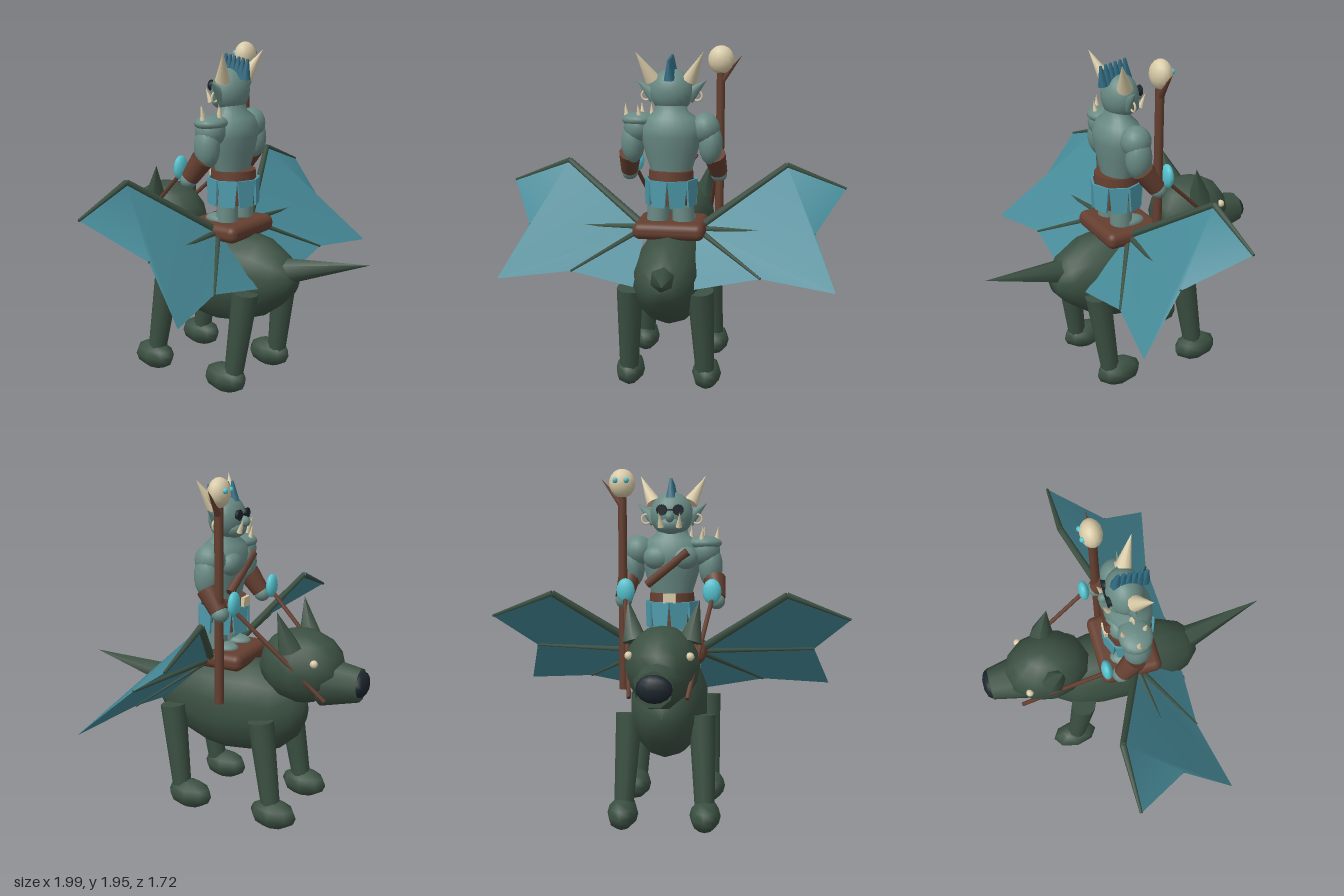
import * as THREE from 'three';
import { RoundedBoxGeometry } from 'three/addons/geometries/RoundedBoxGeometry.js';

const paint = (name, color) => {
  const m = new THREE.MeshStandardMaterial({ color });
  m.name = name;
  return m;
};

export function createModel() {
  const model = new THREE.Group();
  model.name = 'hornedRiderOnWingedBeast';

  const fur = paint('dark green hide', 0x3b5042);
  const skin = paint('grey teal skin', 0x698a84);
  const leather = paint('brown leather', 0x653f30);
  const bone = paint('bone', 0xd9cba8);
  const gem = paint('bright cyan', 0x55c3cf);
  const cloth = paint('blue cloth', 0x4e9aab);
  const hair = paint('deep blue hair', 0x2f6b82);
  const dark = paint('near black', 0x1c252c);
  const membrane = paint('wing membrane', 0x468997);
  membrane.side = THREE.DoubleSide;

  const V = (p) => new THREE.Vector3(...p);
  const UP = new THREE.Vector3(0, 1, 0);

  const add = (name, geo, mat, pos = [0, 0, 0]) => {
    const m = new THREE.Mesh(geo, mat);
    m.name = name;
    m.position.set(...pos);
    model.add(m);
    return m;
  };
  // Ellipsoid
  const ball = (name, mat, pos, r, w = 16, h = 12) =>
    add(name, new THREE.SphereGeometry(1, w, h).scale(...r), mat, pos);
  // Tapered rod from a to b
  const rod = (name, mat, a, b, ra, rb, n = 8) => {
    const d = V(b).sub(V(a));
    const m = add(name, new THREE.CylinderGeometry(rb, ra, d.length(), n), mat);
    m.position.copy(V(a)).addScaledVector(d, 0.5);
    m.quaternion.setFromUnitVectors(UP, d.normalize());
    return m;
  };
  const spike = (name, mat, a, b, r, n = 8) => rod(name, mat, a, b, r, 0, n);
  // Run a part builder for both sides: left is +x
  const both = (fn) => [['left', 1], ['right', -1]].forEach(([side, s]) => fn(side, s));

  // Closed body along z from rings of [z, y, rx, ry], listed from +z to -z
  const loft = (rings, n) => {
    const pos = [], idx = [];
    rings.forEach(([z, y, rx, ry]) => {
      for (let i = 0; i < n; i++) {
        const t = (i / n) * Math.PI * 2;
        pos.push(Math.sin(t) * rx, y + Math.cos(t) * ry, z);
      }
    });
    for (let k = 0; k < rings.length - 1; k++)
      for (let i = 0; i < n; i++) {
        const a = k * n + i, b = k * n + ((i + 1) % n);
        idx.push(a, b, a + n, b, b + n, a + n);
      }
    const g = new THREE.BufferGeometry();
    g.setAttribute('position', new THREE.Float32BufferAttribute(pos, 3));
    g.setIndex(idx);
    g.computeVertexNormals();
    return g;
  };

  // ---- Beast (its muzzle points to -z) ----
  add('beastBody', loft([
    [0.44, 0.66, 0.001, 0.001], [0.43, 0.66, 0.07, 0.07], [0.36, 0.662, 0.14, 0.15],
    [0.24, 0.652, 0.185, 0.232], [0.08, 0.635, 0.207, 0.278], [-0.04, 0.625, 0.212, 0.285],
    [-0.2, 0.635, 0.21, 0.278], [-0.35, 0.635, 0.185, 0.25], [-0.46, 0.635, 0.12, 0.15],
    [-0.5, 0.635, 0.05, 0.06], [-0.505, 0.635, 0.001, 0.001],
  ], 14), fur);
  ball('beastHead', fur, [0, 0.915, -0.475], [0.2, 0.21, 0.25], 12, 8);
  rod('beastSnout', fur, [0, 0.845, -0.6], [0, 0.853, -0.82], 0.142, 0.094, 9);
  ball('beastNose', dark, [0, 0.857, -0.82], [0.092, 0.072, 0.042], 10, 8);
  spike('beastTail', fur, [0, 0.71, 0.35], [0.08, 0.825, 0.86], 0.078, 6);
  both((side, s) => {
    spike(side + 'BeastEar', fur, [s * 0.145, 1.04, -0.46], [s * 0.19, 1.255, -0.4], 0.07, 6);
    ball(side + 'BeastEye', bone, [s * 0.157, 0.985, -0.605], [0.022, 0.022, 0.022], 10, 8);
    [['Front', -0.32, -0.4, -0.415], ['Hind', 0.245, 0.18, 0.125]].forEach(([end, zt, zb, zf]) => {
      rod(side + end + 'Leg', fur, [s * 0.2, 0.62, zt], [s * 0.222, 0.11, zb], 0.075, 0.054, 10);
      ball(side + end + 'Paw', fur, [s * 0.225, 0.085, zf], [0.085, 0.085, 0.14], 8, 6);
    });
    // Reins from the hands, behind the cheek and out at the jaw
    rod(side + 'Rein', leather, [s * 0.24, 1.23, -0.19], [s * 0.175, 0.92, -0.52], 0.012, 0.012, 6);
    rod(side + 'ReinEnd', leather, [s * 0.175, 0.92, -0.52], [s * 0.148, 0.78, -0.667], 0.012, 0.012, 6);
  });

  // ---- Wings: membrane sheet and finger bones ----
  both((side, s) => {
    const p = (x, y, z) => [s * x, y, z];
    const root = p(0.15, 0.92, 0.02), wrist = p(0.65, 1.265, -0.2), tip = p(0.995, 1.135, -0.2);
    const notch = p(0.82, 0.93, 0.1), hook = p(0.93, 0.68, 0.375), mid = p(0.53, 0.715, 0.285);
    const low = p(0.17, 0.645, 0.31);
    const g = new THREE.BufferGeometry();
    g.setAttribute('position', new THREE.Float32BufferAttribute(
      [root, wrist, tip, notch, hook, mid, low].flat(), 3));
    const faces = [0, 4, 1, 1, 3, 2, 1, 4, 3, 0, 5, 4, 0, 6, 5];
    g.setIndex(s > 0 ? faces : faces.reverse());
    g.computeVertexNormals();
    add(side + 'WingMembrane', g, membrane);
    rod(side + 'WingArm', fur, root, wrist, 0.024, 0.018, 6);
    rod(side + 'WingTipBone', fur, wrist, tip, 0.018, 0.008, 6);
    rod(side + 'WingUpperFinger', fur, root, notch, 0.018, 0.007, 6);
    rod(side + 'WingLowerFinger', fur, root, mid, 0.018, 0.007, 6);
  });

  // ---- Saddle ----
  add('saddle', new RoundedBoxGeometry(0.41, 0.097, 0.355, 4, 0.042), leather, [0, 0.923, -0.01]);

  // ---- Rider body ----
  const torso = [[0.11, 1.2], [0.122, 1.27], [0.15, 1.36], [0.172, 1.45], [0.172, 1.5],
    [0.145, 1.555], [0.095, 1.59], [0.082, 1.64]].map(([r, y]) => new THREE.Vector2(r, y));
  add('riderTorso', new THREE.LatheGeometry(torso, 24).scale(1, 1, 0.74), skin, [0, 0, 0.01]);
  both((side, s) => {
    ball(side + 'Chest', skin, [s * 0.07, 1.46, -0.065], [0.085, 0.07, 0.06]);
    rod(side + 'RiderLeg', skin, [s * 0.075, 0.94, 0.025], [s * 0.07, 1.12, 0.025], 0.065, 0.06, 14);
    ball(side + 'RiderFoot', skin, [s * 0.08, 0.975, -0.02], [0.06, 0.035, 0.095]);
    ball(side + 'Shoulder', skin, [s * 0.19, 1.495, 0], [0.085, 0.088, 0.085]);
    ball(side + 'UpperArm', skin, [s * 0.222, 1.41, 0], [0.068, 0.12, 0.075]);
    rod(side + 'Bracer', leather, [s * 0.243, 1.345, -0.015], [s * 0.262, 1.235, -0.09], 0.064, 0.05, 12);
    ball(side + 'Hand', skin, [s * 0.262, 1.22, -0.1], [0.048, 0.045, 0.048], 12, 10);
    ball(side + 'HandGem', gem, [s * 0.24, 1.28, -0.172], [0.052, 0.07, 0.03], 12, 8);
  });

  // ---- Kilt of tapered panels over a leather skirt, belt and chest strap ----
  add('underSkirt', new THREE.CylinderGeometry(0.122, 0.128, 0.14, 16), leather, [0, 1.14, 0.015]);
  const panelShape = new THREE.Shape();
  panelShape.moveTo(-0.042, -0.075).lineTo(0.042, -0.075).lineTo(0.056, 0.075).lineTo(-0.056, 0.075);
  const panelGeo = new THREE.ExtrudeGeometry(panelShape, { depth: 0.012, bevelEnabled: false });
  for (let i = 0; i < 8; i++) {
    const a = ((i + 0.5) / 8) * Math.PI * 2;
    const panel = add('kiltPanel', panelGeo, cloth,
      [Math.sin(a) * 0.13, 1.137, 0.015 + Math.cos(a) * 0.13]);
    panel.rotation.y = a;
  }
  add('belt', new THREE.CylinderGeometry(0.126, 0.13, 0.05, 20), leather, [0, 1.235, 0.015]);
  add('buckle', new THREE.BoxGeometry(0.07, 0.055, 0.02), bone, [0, 1.235, -0.12]);
  rod('chestStrap', leather, [0.13, 1.31, -0.09], [-0.1, 1.495, -0.118], 0.024, 0.024, 8);

  // ---- Spiked shoulder guard ----
  ball('shoulderGuard', skin, [-0.185, 1.54, 0], [0.1, 0.042, 0.09]);
  [[-0.255, 0], [-0.175, 0.05], [-0.11, 0], [-0.175, -0.06]].forEach(([x, z]) =>
    spike('guardSpike', bone, [x, 1.555, z], [x * 1.04, 1.635, z * 1.2], 0.018));

  // ---- Rider head ----
  ball('riderHead', skin, [0, 1.7, -0.005], [0.122, 0.125, 0.1], 20, 14);
  ball('riderJaw', skin, [0, 1.645, -0.045], [0.085, 0.055, 0.07]);
  ball('riderNose', skin, [0, 1.685, -0.115], [0.025, 0.03, 0.03], 10, 8);
  both((side, s) => {
    spike(side + 'Horn', bone, [s * 0.105, 1.765, 0.02], [s * 0.188, 1.92, 0.085], 0.043, 10);
    const ear = spike(side + 'RiderEar', skin, [s * 0.09, 1.67, 0], [s * 0.2, 1.765, 0.01], 0.045);
    ear.scale.z = 0.6;
    add(side + 'Earring', new THREE.TorusGeometry(0.026, 0.006, 6, 16), bone, [s * 0.145, 1.675, -0.005]);
    rod(side + 'Lens', dark, [s * 0.045, 1.725, -0.09], [s * 0.047, 1.725, -0.109], 0.026, 0.026, 12);
    add(side + 'LensRim', new THREE.TorusGeometry(0.027, 0.004, 6, 16), dark, [s * 0.046, 1.725, -0.106]);
    spike(side + 'Tusk', bone, [s * 0.05, 1.63, -0.105], [s * 0.058, 1.71, -0.135], 0.018);
  });
  rod('glassesBridge', dark, [-0.02, 1.725, -0.108], [0.02, 1.725, -0.108], 0.005, 0.005, 6);
  for (let i = 0; i < 6; i++) {
    const t = i / 5, z = -0.05 + t * 0.145;
    rod('mohawkSpike', hair, [0, 1.79 - t * t * 0.025, z], [0, 1.9 - t * 0.025, z + 0.015], 0.031, 0.008, 6);
  }

  // ---- Skull staff ----
  rod('staff', leather, [0.267, 0.71, -0.095], [0.267, 1.84, -0.095], 0.026, 0.024, 10);
  ball('staffSkull', bone, [0.267, 1.87, -0.098], [0.074, 0.08, 0.058], 14, 10);
  [-1, 1].forEach((s) =>
    ball('skullEye', gem, [0.267 + s * 0.03, 1.885, -0.148], [0.016, 0.016, 0.016], 10, 8));
  spike('staffThorn', leather, [0.275, 1.76, -0.095], [0.385, 1.895, -0.095], 0.022, 6);

  return model;
}
